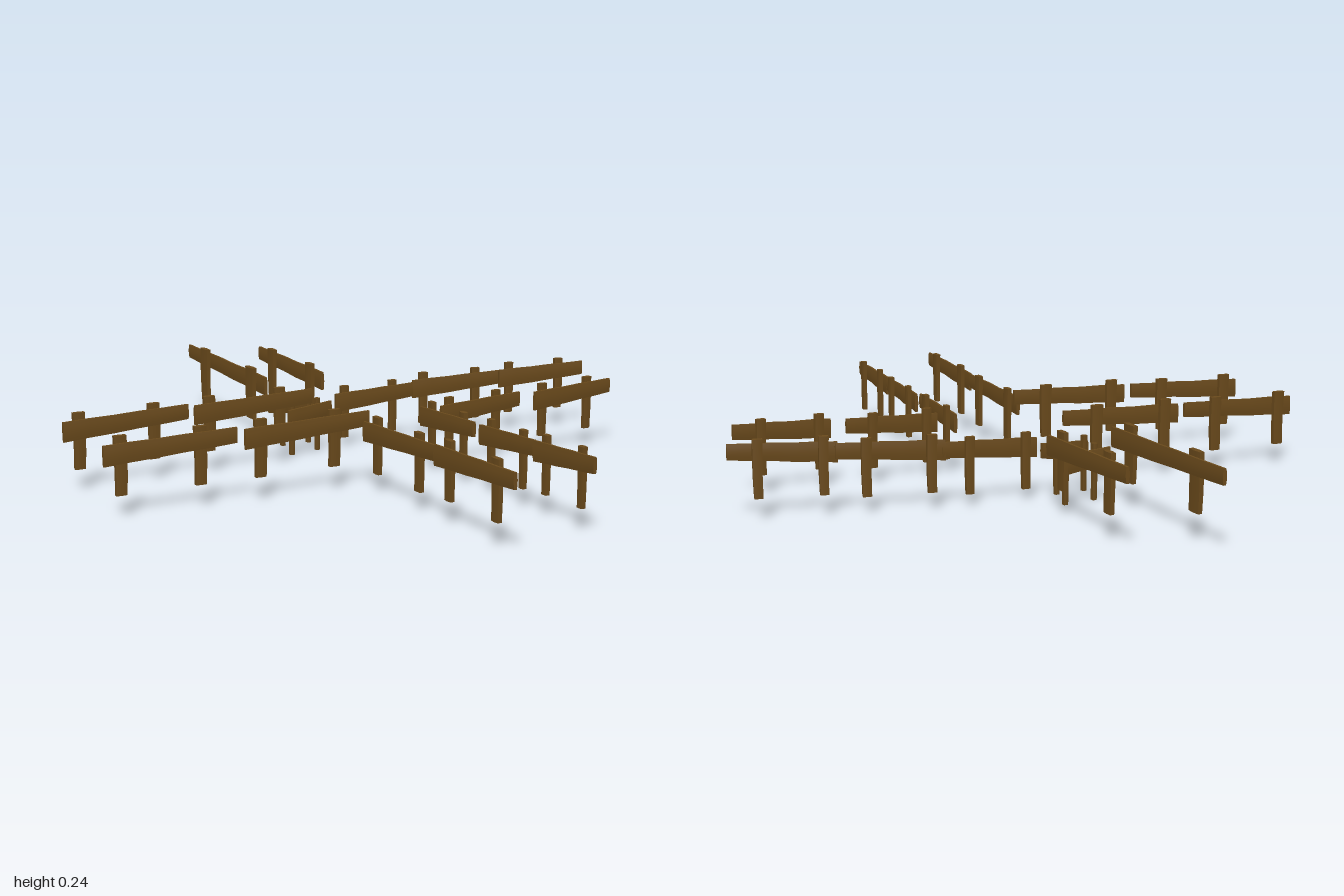
import * as THREE from 'three';

const wood = new THREE.MeshStandardMaterial({ color: 0x69491b });
wood.name = 'brown wood';

// Rough plank one unit long: thick at the start, thinner and higher at the far end,
// with faces bulging slightly towards worn top and bottom edges
function railGeometry() {
  const g = new THREE.BoxGeometry(1, 1, 1, 5, 4, 1);
  const p = g.attributes.position;
  const wobble = [0, 0.0008, -0.0006, 0.0008, -0.0005, 0];
  for (let i = 0; i < p.count; i++) {
    const t = p.getX(i) + 0.5;
    const v = p.getY(i) * 2;
    const w = wobble[Math.round(t * 5)];
    const height = THREE.MathUtils.lerp(0.058, 0.044, t);
    const centre = THREE.MathUtils.lerp(0.115, 0.133, t);
    const depth = 0.012 * (1 - 0.4 * v * v);
    p.setXYZ(i, t, centre + v * height / 2 + w, p.getZ(i) * depth + w);
  }
  g.computeVertexNormals();
  return g;
}

// Upright stake, a little narrower at the foot, with softly rounded broad faces
function postGeometry() {
  const g = new THREE.BoxGeometry(1, 1, 1, 2, 3, 1);
  const p = g.attributes.position;
  for (let i = 0; i < p.count; i++) {
    const u = p.getX(i) * 2;
    const t = p.getY(i) + 0.5;
    const s = 0.88 + 0.12 * t;
    const x = u * 0.046 * s + 0.005 * Math.sin(t * Math.PI);
    p.setXYZ(i, x, t * 0.165, p.getZ(i) * 0.018 * s * (1 - 0.25 * u * u));
  }
  g.computeVertexNormals();
  return g;
}

// Each section: start x, start z, end x, end z, ground height
const sections = [
  // left path
  [-0.90, -0.135, -0.515, -0.15, 0.06], [-0.50, -0.137, -0.11, -0.15, 0.067],
  [-0.90, 0.19, -0.515, 0.195, 0.06], [-0.50, 0.215, -0.11, 0.208, 0.067],
  // front path
  [-0.133, 0.225, -0.13, 0.61, 0.052], [-0.13, 0.61, -0.135, 1.0, 0.065],
  [0.131, 0.095, 0.131, 0.39, 0.043], [0.138, 0.41, 0.138, 0.68, 0.05], [0.138, 0.68, 0.14, 0.95, 0.06],
  // right path
  [0.18, 0.125, 0.475, 0.10, 0.045], [0.515, 0.125, 0.815, 0.10, 0.055],
  [0.02, -0.246, 0.31, -0.248, 0.03], [0.30, -0.248, 0.61, -0.215, 0.047], [0.60, -0.205, 0.90, -0.165, 0.06],
  // low crossing
  [-0.155, -0.221, 0.005, -0.248, 0], [0.005, -0.381, -0.155, -0.363, 0],
  // back path
  [-0.15, -0.39, -0.15, -1.0, 0.074], [0.055, -0.40, 0.055, -0.872, 0.07],
];

export function createModel() {
  const model = new THREE.Group();
  model.name = 'woodenFences';
  const railGeo = railGeometry();
  const postGeo = postGeometry();

  for (const [x0, z0, x1, z1, ground] of sections) {
    const section = new THREE.Group();
    section.name = 'fenceSection';
    const rail = new THREE.Mesh(railGeo, wood);
    rail.name = 'rail';
    section.add(rail);
    // two posts on the same side of the rail
    [0.135, 0.73].forEach((t, i) => {
      const post = new THREE.Mesh(postGeo, wood);
      post.name = i ? 'endPost' : 'startPost';
      post.position.set(t, i * 0.002, -0.0135);
      section.add(post);
    });
    section.position.set(x0, ground, z0);
    section.rotation.y = -Math.atan2(z1 - z0, x1 - x0);
    section.scale.x = Math.hypot(x1 - x0, z1 - z0);
    model.add(section);
  }
  return model;
}
